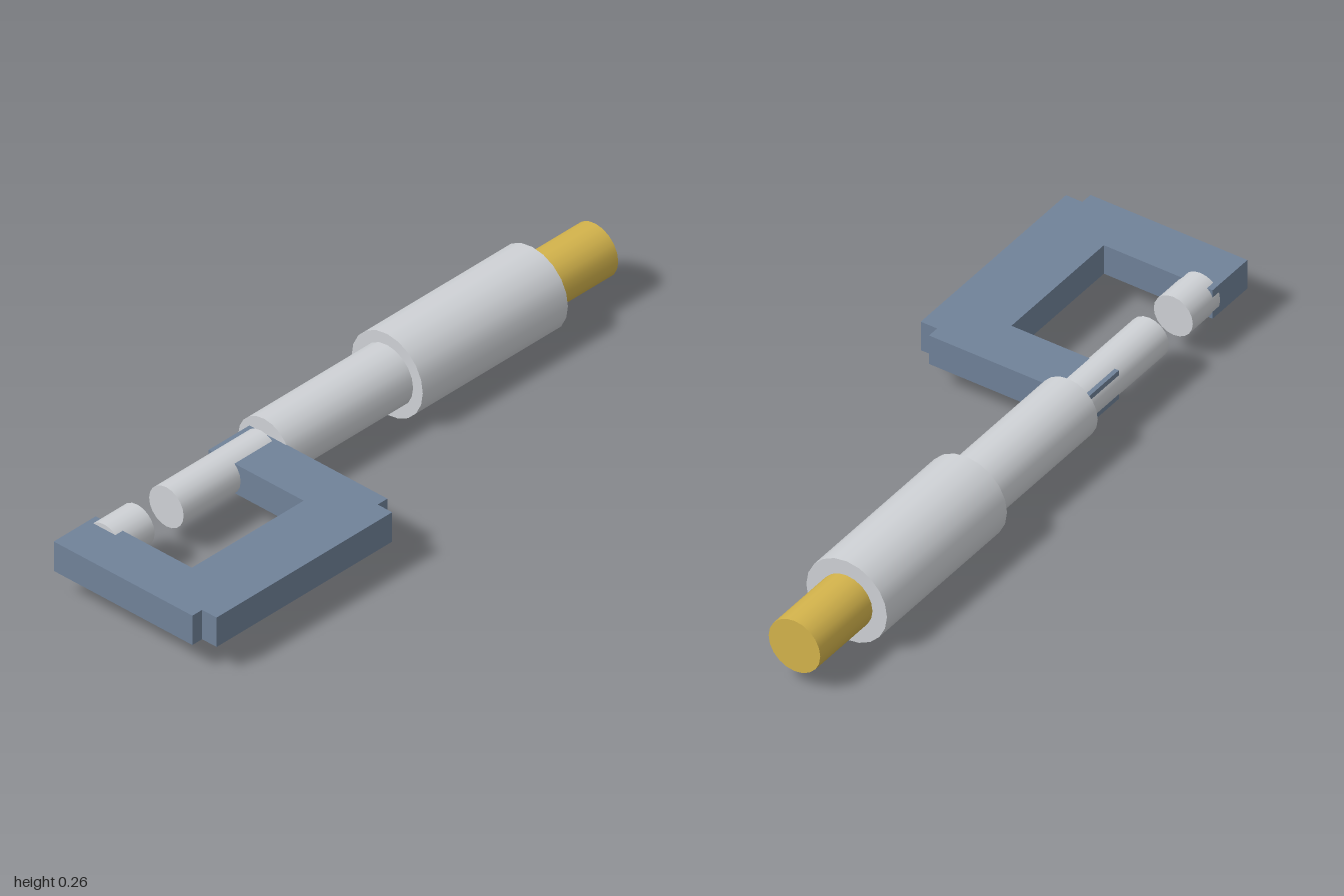
import * as THREE from 'three';

const AXIS_Y = 0.13, AXIS_Z = -0.183;

export function createModel() {
  const group = new THREE.Group();
  const material = (name, color) => {
    const m = new THREE.MeshStandardMaterial({ color });
    m.name = name;
    return m;
  };
  const steel = material('steel', 0xcfd2d6);
  const brass = material('brass', 0xd4b44c);
  const paint = material('blue paint', 0x708299);

  // C-shaped frame, outlined in plan (x, z), with stepped front corners
  const outline = [
    [-1, -0.24], [-0.84, -0.24], [-0.84, 0.105], [-0.415, 0.105],
    [-0.415, -0.236], [-0.258, -0.236], [-0.258, 0.258], [-0.295, 0.258],
    [-0.295, 0.31], [-0.963, 0.31], [-0.963, 0.258], [-1, 0.258],
  ];
  const shape = new THREE.Shape(outline.map(([x, z]) => new THREE.Vector2(x, -z)));
  const frameGeometry = new THREE.ExtrudeGeometry(shape, { depth: 0.093, bevelEnabled: false });
  frameGeometry.rotateX(-Math.PI / 2);
  frameGeometry.translate(0, 0.084, 0);
  const frame = new THREE.Mesh(frameGeometry, paint);
  frame.name = 'frame';
  group.add(frame);

  // Round parts all share one measuring axis along x
  const rod = (name, x0, x1, radius, mat) => {
    const geometry = new THREE.CylinderGeometry(radius, radius, x1 - x0, 20);
    geometry.rotateZ(-Math.PI / 2);
    const mesh = new THREE.Mesh(geometry, mat);
    mesh.position.set((x0 + x1) / 2, AXIS_Y, AXIS_Z);
    mesh.name = name;
    group.add(mesh);
  };
  rod('anvil', -0.868, -0.742, 0.062, steel);
  rod('spindle', -0.632, -0.272, 0.062, steel);
  rod('sleeve', -0.26, 0.21, 0.093, steel);
  rod('thimble', 0.208, 0.76, 0.128, steel);
  rod('ratchet', 0.758, 1, 0.082, brass);

  return group;
}
